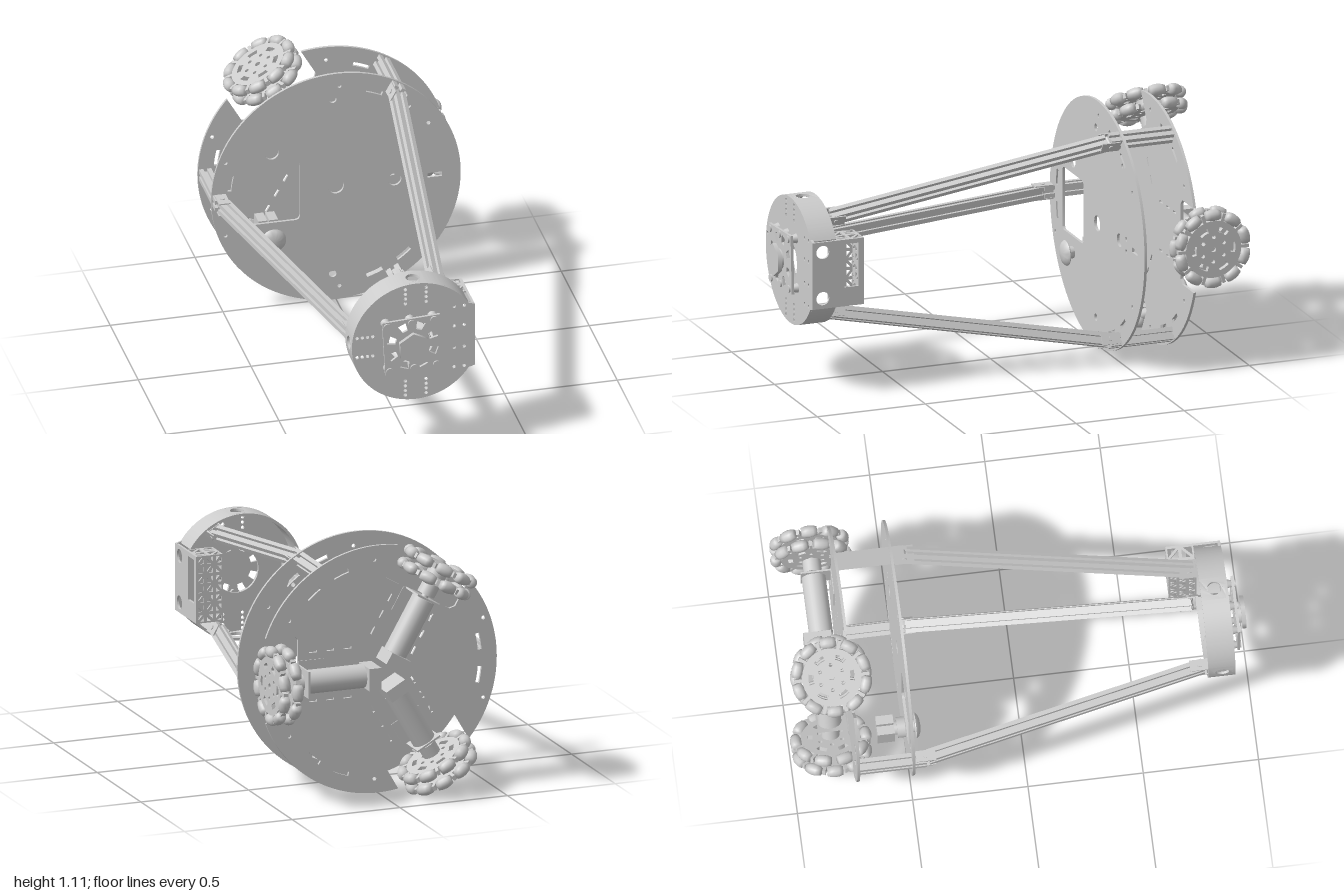
import * as THREE from 'three';
import { toCreasedNormals } from 'three/addons/utils/BufferGeometryUtils.js';

const MAT = new THREE.MeshStandardMaterial({ color: 0xcccccc, side: THREE.DoubleSide });
const R = 0.553, CY = 0.555, HEAD = 0.283, DEG = Math.PI / 180;

function add(parent, name, geo, x = 0, y = 0, z = 0) {
  const m = new THREE.Mesh(geo, MAT);
  m.name = name;
  m.position.set(x, y, z);
  parent.add(m);
  return m;
}
function group(parent, name, x = 0, y = 0, z = 0) {
  const g = new THREE.Group();
  g.name = name;
  g.position.set(x, y, z);
  parent.add(g);
  return g;
}
const box = (w, h, d) => new THREE.BoxGeometry(w, h, d);
const cyl = (r, len, axis = 'z', r2 = r, n = 28) => {
  const g = new THREE.CylinderGeometry(r, r2, len, n);
  return axis === 'x' ? g.rotateZ(-Math.PI / 2) : axis === 'z' ? g.rotateX(Math.PI / 2) : g;
};
const extrude = (shape, depth, seg = 12) =>
  toCreasedNormals(new THREE.ExtrudeGeometry(shape, { depth, bevelEnabled: false, curveSegments: seg }), 0.5);
const poly = (pts, Type = THREE.Shape) => new Type(pts.map(([x, y]) => new THREE.Vector2(x, y)));
const rect = (x0, y0, x1, y1, Type) => poly([[x0, y0], [x1, y0], [x1, y1], [x0, y1]], Type);
const polar = (r, a) => [r * Math.cos(a), r * Math.sin(a)];
function ringPoints(x, y, r, n = 16) {
  return Array.from({ length: n }, (_, i) => {
    const [a, b] = polar(r, i / n * 2 * Math.PI);
    return [x + a, y + b];
  });
}
const hole = (s, x, y, r, n) => s.holes.push(poly(ringPoints(x, y, r, n), THREE.Path));
// curved slot between two angles
function arcSlot(s, r, w, a0, a1, n = 6) {
  const pts = [];
  for (let i = 0; i <= n; i++) pts.push(polar(r + w, a0 + (a1 - a0) * i / n));
  for (let i = n; i >= 0; i--) pts.push(polar(r - w, a0 + (a1 - a0) * i / n));
  s.holes.push(poly(pts, THREE.Path));
}
const turn = (x, y, a) => [x * Math.cos(a) - y * Math.sin(a), x * Math.sin(a) + y * Math.cos(a)];

// slots either side of each strut, shared by both big plates
function strutSlots(s) {
  for (const a of [60, 180, 300]) for (const k of [-1, 1])
    arcSlot(s, 0.475, 0.009, (a + k * 4.5) * DEG, (a + k * 13.5) * DEG);
  for (const [x, y] of [[0.015, 0.49], [-0.49, 0.178], [0.41, 0.258]])
    for (const k of [-1, 1]) hole(s, x, k * y, 0.009, 10);
}
function frontPlate() {
  const s = poly(ringPoints(0, 0, R, 96));
  strutSlots(s);
  for (const k of [-1, 1]) { hole(s, -0.015, k * 0.428, 0.017); hole(s, 0.34, k * 0.028, 0.01, 10); }
  hole(s, -0.285, 0.2, 0.031, 24);
  hole(s, 0.295, 0.345, 0.01, 10);
  hole(s, 0.26, 0, 0.03, 24);
  hole(s, 0, 0, 0.035, 24);
  s.holes.push(rect(0.405, -0.011, 0.47, 0.011, THREE.Path));
  const x0 = -0.405, x1 = -0.16, h = 0.142, c = 0.02, corners = [[x1 - c, h - c], [x0 + c, h - c], [x0 + c, c - h], [x1 - c, c - h]];
  const w = new THREE.Path();
  corners.forEach(([x, y], i) => w.absarc(x, y, c, i * Math.PI / 2, (i + 1) * Math.PI / 2));
  w.closePath();
  s.holes.push(w);
  return extrude(s, 0.012);
}
function backPlate() {
  const s = new THREE.Shape(), half = 0.19, a = Math.asin(half / R);
  for (let k = 0; k < 3; k++) {
    const t = k * 120 * DEG;
    const notch = [[0.39, -half], [0.37, 0.02 - half], [0.37, half - 0.02], [0.39, half]].map(p => turn(...p, t));
    notch.forEach((p, i) => (k + i ? s.lineTo(...p) : s.moveTo(...p)));
    s.absarc(0, 0, R, t + a, t + 120 * DEG - a);
  }
  s.closePath();
  strutSlots(s);
  for (let k = 0; k < 3; k++) for (const x of [0.14, 0.22, 0.3]) for (const y of [-0.11, 0.11]) {
    const p = [[-0.018, -0.005], [0.018, -0.005], [0.018, 0.005], [-0.018, 0.005]];
    s.holes.push(poly(p.map(([u, v]) => turn(x + u, y + v, k * 120 * DEG)), THREE.Path));
  }
  return extrude(s, 0.012, 32);
}

// slotted aluminium bar along +z
function slottedBar(len) {
  const h = 0.027, w = 0.008, d = 0.014, pts = [];
  for (let i = 0; i < 4; i++)
    for (const p of [[h, -w], [h - d, -w], [h - d, w], [h, w], [h, h]]) pts.push(turn(...p, i * Math.PI / 2));
  return extrude(poly(pts), len);
}
function strut(parent, angle) {
  const g = group(parent, 'strut');
  g.rotation.z = angle;
  add(g, 'shortBar', slottedBar(0.29), 0.521, 0, -0.735);
  const dx = -0.267, dz = 1.225;
  const bar = add(g, 'longBar', slottedBar(Math.hypot(dx, dz)), 0.513, 0, -0.435);
  bar.rotation.y = Math.atan2(dx, dz);
  // hinge cheeks and pins at both ends
  for (const [x, z] of [[0.516, -0.445], [0.25, 0.775]]) {
    for (const k of [-1, 1]) add(g, 'hingeCheek', box(0.05, 0.006, 0.085), x, k * 0.029, z);
    add(g, 'hingePin', cyl(0.01, 0.072, 'y'), x, 0, z);
  }
  add(g, 'headFoot', box(0.05, 0.056, 0.1), 0.246, 0, 0.855);
}

// double-row roller wheel, axis along local z
function rollerWheel(parent) {
  const g = group(parent, 'rollerWheel', 0.492, 0, -0.822);
  g.rotation.y = Math.PI / 2;
  const s = poly(ringPoints(0, 0, 0.128, 40));
  hole(s, 0, 0, 0.012);
  for (let i = 0; i < 6; i++) {
    const a = i * 60 * DEG;
    arcSlot(s, 0.09, 0.011, a - 0.24, a + 0.24);
    hole(s, ...polar(0.055, a + 0.5), 0.009, 10);
  }
  const disc = extrude(s, 0.022);
  const roller = new THREE.LatheGeometry(
    [[0, -0.034], [0.019, -0.034], [0.024, -0.017], [0.026, 0], [0.024, 0.017], [0.019, 0.034], [0, 0.034]]
      .map(p => new THREE.Vector2(...p)), 14);
  const fork = box(0.042, 0.014, 0.022), n = 10;
  [-0.03, 0.03].forEach((z, row) => {
    add(g, 'wheelDisc', disc, 0, 0, z - 0.011);
    for (let i = 0; i < n; i++) {
      const a = (i + row / 2) / n * 2 * Math.PI, b = a + Math.PI / n;
      add(g, 'roller', roller, ...polar(0.151, a), z).rotation.z = a;
      add(g, 'rollerFork', fork, ...polar(0.142, b), z).rotation.z = b;
    }
  });
  add(g, 'wheelSpacer', cyl(0.045, 0.05));
}
function drive(parent, angle) {
  const g = group(parent, 'driveUnit'), z = -0.822;
  g.rotation.z = angle;
  add(g, 'motorCap', box(0.056, 0.1, 0.12), 0.072, 0, -0.84);
  add(g, 'motor', cyl(0.052, 0.265, 'x'), 0.232, 0, z);
  add(g, 'axle', cyl(0.016, 0.1, 'x'), 0.4, 0, z);
  add(g, 'hub', cyl(0.04, 0.055, 'x'), 0.412, 0, z);
  add(g, 'bracketFoot', box(0.115, 0.15, 0.008), 0.31, 0, -0.745);
  add(g, 'bracketWall', box(0.008, 0.12, 0.135), 0.37, 0, -0.81);
  rollerWheel(g);
}

// front drum: face, holed wall, flat side panel
function head(parent) {
  const g = group(parent, 'head');
  const f = new THREE.Shape(), a = Math.acos(0.235 / HEAD);
  f.absarc(0, 0, HEAD, a, 2 * Math.PI - a);
  for (const p of [[0.262, -0.15], [0.262, 0.15]]) f.lineTo(...p);
  f.closePath();
  for (const k of [-1, 1]) for (let i = 0; i < 4; i++) {
    for (const x of [-0.046, 0.046]) hole(f, x, k * (0.19 + i * 0.023), 0.008, 10);
    hole(f, -0.26 + i * 0.023, k * 0.047, 0.008, 10);
    hole(f, i % 2 ? 0.17 : 0.215, k * (i < 2 ? 0.053 : 0.148), 0.008, 10);
  }
  hole(f, -0.02, 0, 0.1, 32);
  add(g, 'headFace', extrude(f, 0.012, 64), 0, 0, 0.916);

  const t = 0.012, Ri = HEAD - t, w = 10 * DEG;
  for (const [a0, a1] of [[32, 80], [100, 170], [190, 260], [280, 328]]) {
    const s = new THREE.Shape();
    s.absarc(0, 0, HEAD, a0 * DEG, a1 * DEG, false);
    s.absarc(0, 0, Ri, a1 * DEG, a0 * DEG, true);
    add(g, 'headWall', extrude(s, 0.11, 20), 0, 0, 0.81);
  }
  for (const c of [90, 180, 270]) {
    const pts = [], n = 8;
    for (let i = 0; i <= n; i++) pts.push([(2 * i / n - 1) * w, 0.81]);
    for (let i = n; i >= 0; i--) pts.push([(2 * i / n - 1) * w, 0.92]);
    const s = poly(pts.map(([u, v]) => [u * HEAD, v]));
    hole(s, 0, 0.87, 0.03, 24);
    const geo = new THREE.ExtrudeGeometry(s, { depth: t, bevelEnabled: false }), p = geo.attributes.position;
    for (let i = 0; i < p.count; i++)
      p.setXYZ(i, ...polar(Ri + p.getZ(i), c * DEG + p.getX(i) / HEAD), p.getY(i));
    add(g, 'headWallPort', toCreasedNormals(geo, 0.5));
  }
  const side = rect(0.69, -0.15, 0.925, 0.15);
  for (const k of [-1, 1]) hole(side, 0.88, k * 0.104, 0.03, 24);
  side.holes.push(rect(0.715, -0.065, 0.78, 0.13, THREE.Path));
  add(g, 'sidePanel', extrude(side, 0.01).rotateY(-Math.PI / 2), 0.262);
}

// lattice sheet with alternating triangular openings
function lattice(w, h, cols, rows) {
  const s = rect(0, 0, w, h), cw = w / cols, ch = h / rows, m = 0.007;
  for (let i = 0; i < cols; i++) for (let j = 0; j < rows; j++) {
    const x0 = i * cw + m, x1 = (i + 1) * cw - m, y0 = j * ch + m, y1 = (j + 1) * ch - m, d = 0.008;
    const flip = (i + j) % 2, X = v => (flip ? x0 + x1 - v : v);
    s.holes.push(poly([[X(x0), y0], [X(x1 - d), y0], [X(x0), y1 - d]], THREE.Path));
    s.holes.push(poly([[X(x1), y1], [X(x0 + d), y1], [X(x1), y0 + d]], THREE.Path));
  }
  return extrude(s, 0.007);
}
function latticeBox(parent) {
  const g = group(parent, 'latticeBox');
  add(g, 'boxBack', lattice(0.12, 0.3, 3, 7), 0.137, -0.15, 0.69);
  add(g, 'boxInnerSide', lattice(0.12, 0.3, 3, 7).rotateY(-Math.PI / 2), 0.144, -0.15, 0.69);
  for (const y of [-0.143, 0.15])
    add(g, 'boxEnd', lattice(0.12, 0.12, 2, 2).rotateX(Math.PI / 2), 0.137, y, 0.69);
}

// vented plate with bosses and a hexagonal cap
function facePlate(parent) {
  const g = group(parent, 'facePlate', -0.022, 0.003, 0);
  g.rotation.z = 3 * DEG;
  const s = rect(-0.128, -0.13, 0.128, 0.13);
  for (let i = 0; i < 8; i++) {
    const a = (22.5 + 45 * i) * DEG;
    s.holes.push(poly([[0.078, -0.013], [0.115, -0.02], [0.115, 0.02], [0.078, 0.013]].map(p => turn(...p, a)), THREE.Path));
  }
  add(g, 'ventPlate', extrude(s, 0.012), 0, 0, 0.953);
  for (const x of [-0.108, 0, 0.1]) for (const y of [-0.11, 0.11]) {
    add(g, 'standoff', cyl(0.014, 0.03, 'z', 0.022), x, y, 0.94);
    add(g, 'boss', cyl(0.016, 0.01), x, y, 0.967);
  }
  add(g, 'hexStem', cyl(0.045, 0.03), 0, 0, 0.972);
  add(g, 'hexCap', cyl(0.073, 0.018, 'z', 0.073, 6), 0, 0, 0.991);
}

function stopButton(parent) {
  const g = group(parent, 'stopButton', -0.285, -0.213, 0);
  const cap = [[0, 0.055], [0.03, 0.052], [0.048, 0.044], [0.056, 0.034], [0.054, 0.03], [0.028, 0.028], [0.026, 0]];
  add(g, 'buttonCap', toCreasedNormals(new THREE.LatheGeometry(
    cap.reverse().map(p => new THREE.Vector2(...p)), 32).rotateX(Math.PI / 2), 0.6), 0, 0, -0.495);
  add(g, 'buttonNut', cyl(0.045, 0.035), 0, 0, -0.525);
  add(g, 'buttonNeck', cyl(0.03, 0.03), 0, 0, -0.55);
  for (const x of [-0.024, 0.024]) add(g, 'switchBlock', box(0.04, 0.1, 0.075), x, 0, -0.593);
}

export function createModel() {
  const root = new THREE.Group();
  root.name = 'wheeledFrame';
  const g = group(root, 'assembly', 0, CY, 0);
  add(g, 'frontPlate', frontPlate(), 0, 0, -0.506);
  add(g, 'backPlate', backPlate(), 0, 0, -0.746);
  for (const a of [60, 180, 300]) strut(g, a * DEG);
  for (const a of [0, 120, 240]) drive(g, a * DEG);
  head(g);
  latticeBox(g);
  facePlate(g);
  stopButton(g);
  return root;
}
